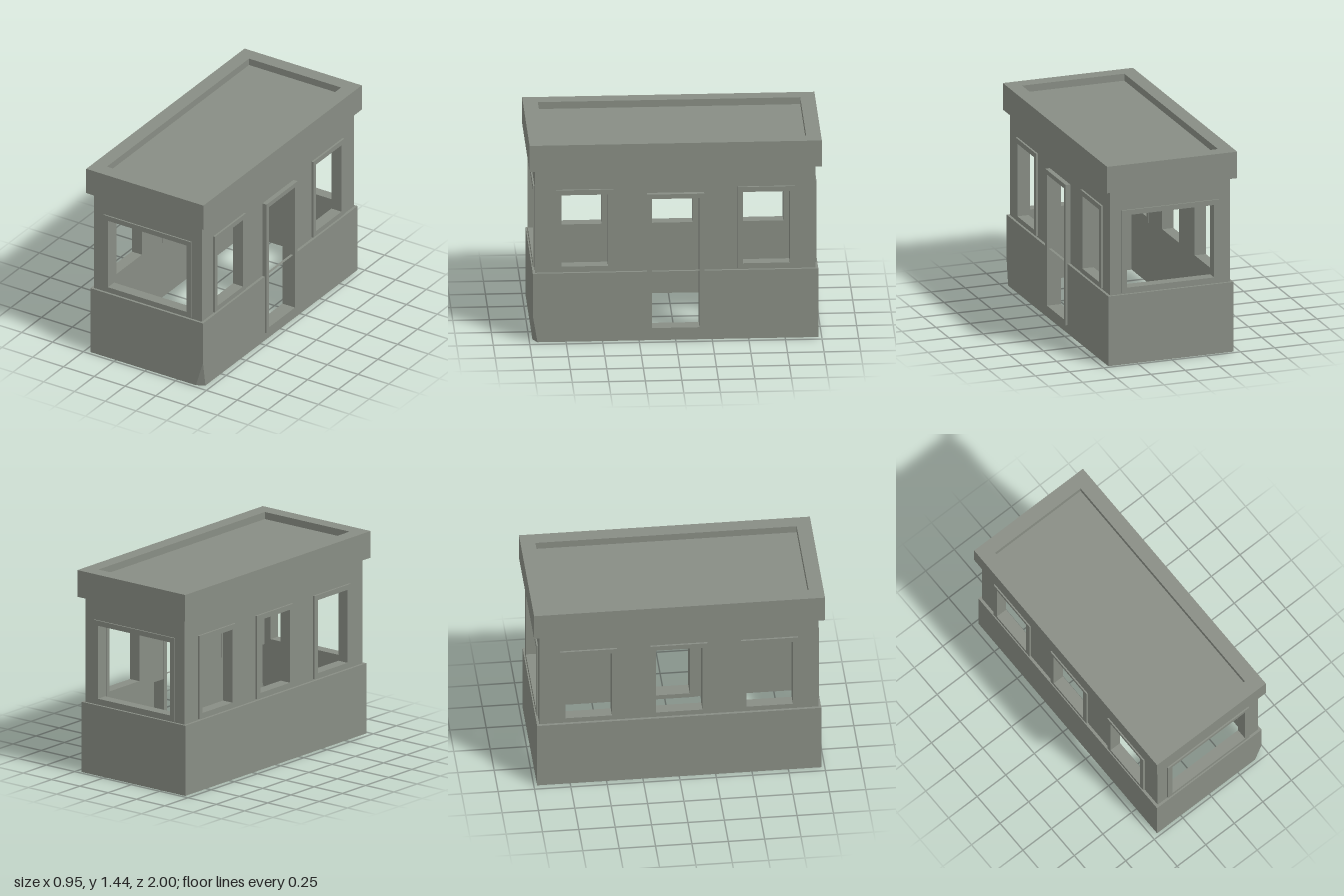
import * as THREE from 'three';

const boothGrey = new THREE.MeshStandardMaterial({ color: 0x888d84, side: THREE.DoubleSide });
boothGrey.name = 'boothGrey';

// Half sizes: upper wall, skirt and roof
const WALL = { x: 0.438, z: 0.96 }, SKIRT = { x: 0.4575, z: 0.977 }, ROOF = { x: 0.476, z: 1.0 };
const THICK = 0.065, SILL = 0.5, EAVE = 1.25, TOP = 1.44;

// Quarter turns that aim a flat panel at each side of the booth
const TURN = { front: 0, left: Math.PI / 2, back: Math.PI, right: -Math.PI / 2 };

function rect(x0, x1, y0, y1) {
  const pts = [[x0, y0], [x1, y0], [x1, y1], [x0, y1]];
  return new THREE.Shape(pts.map(p => new THREE.Vector2(...p)));
}

function polygon(pts) {
  return new THREE.Shape(pts.map(p => new THREE.Vector2(...p)));
}

function addMesh(parent, name, geometry) {
  const mesh = new THREE.Mesh(geometry, boothGrey);
  mesh.name = name;
  parent.add(mesh);
  return mesh;
}

// Extrudes a shape between two distances from the centre, then turns it to a side
function addPanel(parent, name, shape, side, inner, outer) {
  const geo = outer > inner
    ? new THREE.ExtrudeGeometry(shape, { depth: outer - inner, bevelEnabled: false })
    : new THREE.ShapeGeometry(shape);
  geo.translate(0, 0, inner);
  geo.rotateY(TURN[side]);
  return addMesh(parent, name, geo);
}

// Rectangular ring: outer box minus a border of width w
function ring(x0, x1, y0, y1, w) {
  const shape = rect(x0, x1, y0, y1);
  shape.holes.push(rect(x0 + w, x1 - w, y0 + w, y1 - w));
  return shape;
}

export function createModel() {
  const booth = new THREE.Group();
  booth.name = 'guardBooth';

  // Openings per side, as centre and half width of the frame
  const sideWindows = [{ c: -0.622, h: 0.196 }, { c: 0.622, h: 0.196 }];
  const openings = {
    front: [{ c: 0, h: 0.355 }],
    back: [{ c: 0, h: 0.355 }],
    left: sideWindows,
    right: [...sideWindows, { c: 0, h: 0.196 }],
  };
  const frameLow = 0.51, frameHigh = 1.102, frameWidth = 0.036;
  const doorHalf = 0.196, doorLow = 0.06, doorHigh = 1.067;

  // Upper walls with window holes, and a frame in each hole
  for (const side of Object.keys(openings)) {
    const endWall = side === 'front' || side === 'back';
    const outer = endWall ? WALL.z : WALL.x;
    const half = endWall ? WALL.x : WALL.z - THICK;
    const inset = 0.015;
    let wall = rect(-half, half, SILL, EAVE);
    if (side === 'left') {
      const d = doorHalf - inset;
      wall = polygon([[-half, SILL], [-d, SILL], [-d, doorHigh - inset], [d, doorHigh - inset],
        [d, SILL], [half, SILL], [half, EAVE], [-half, EAVE]]);
    }
    for (const { c, h } of openings[side]) {
      wall.holes.push(rect(c - h + inset, c + h - inset, frameLow + inset, frameHigh - inset));
      addPanel(booth, side + 'WindowFrame', ring(c - h, c + h, frameLow, frameHigh, frameWidth),
        side, outer - THICK - 0.003, outer + (endWall ? 0.01 : 0.014));
    }
    addPanel(booth, side + 'Wall', wall, side, outer - THICK, outer);
  }

  // Door frame
  addPanel(booth, 'doorFrame', ring(-doorHalf, doorHalf, doorLow, doorHigh, 0.033),
    'left', WALL.x - THICK - 0.003, 0.472);

  // Thin skirt, open below, with a dented front corner on the door side
  const { x: sx, z: sz } = SKIRT;
  const dent = { x: 0.4, z: 0.945, low: 0.12, high: 0.19 };
  addPanel(booth, 'frontSkirt',
    polygon([[-sx, 0], [dent.x, 0], [sx, dent.high], [sx, SILL], [-sx, SILL]]), 'front', sz, sz);
  addPanel(booth, 'backSkirt', rect(-sx, sx, 0, SILL), 'back', sz, sz);
  addPanel(booth, 'rightSkirt', rect(-sz, sz, 0, SILL), 'right', sx, sx);
  const dw = doorHalf - 0.015, dl = doorLow + 0.015;
  addPanel(booth, 'leftSkirt', polygon([[-dent.z, 0], [sz, 0], [sz, SILL], [dw, SILL], [dw, dl],
    [-dw, dl], [-dw, SILL], [-sz, SILL], [-sz, dent.high], [-dent.z, dent.low]]), 'left', sx, sx);

  const corner = new THREE.BufferGeometry();
  corner.setAttribute('position', new THREE.Float32BufferAttribute([
    sx, dent.high, sz, dent.x, 0, sz, sx, 0, dent.z,
    sx, dent.high, sz, sx, 0, dent.z, sx, dent.low, dent.z,
  ], 3));
  corner.computeVertexNormals();
  addMesh(booth, 'dentedCorner', corner);

  // Ledge closing the gap between skirt and walls
  const ledge = rect(-sx, sx, -sz, sz);
  ledge.holes.push(rect(-WALL.x, WALL.x, -WALL.z, WALL.z));
  const ledgeGeo = new THREE.ShapeGeometry(ledge);
  ledgeGeo.rotateX(-Math.PI / 2).translate(0, SILL, 0);
  addMesh(booth, 'skirtLedge', ledgeGeo);

  // Flat roof: parapet rim around a sunken deck
  const rim = new THREE.ExtrudeGeometry(ring(-ROOF.x, ROOF.x, -ROOF.z, ROOF.z, 0.102),
    { depth: TOP - EAVE, bevelEnabled: false });
  rim.rotateX(-Math.PI / 2).translate(0, EAVE, 0);
  addMesh(booth, 'roofParapet', rim);
  const deckHeight = 0.14;
  const deck = new THREE.BoxGeometry((ROOF.x - 0.102) * 2, deckHeight, (ROOF.z - 0.102) * 2);
  deck.translate(0, EAVE + deckHeight / 2, 0);
  addMesh(booth, 'roofDeck', deck);

  return booth;
}
